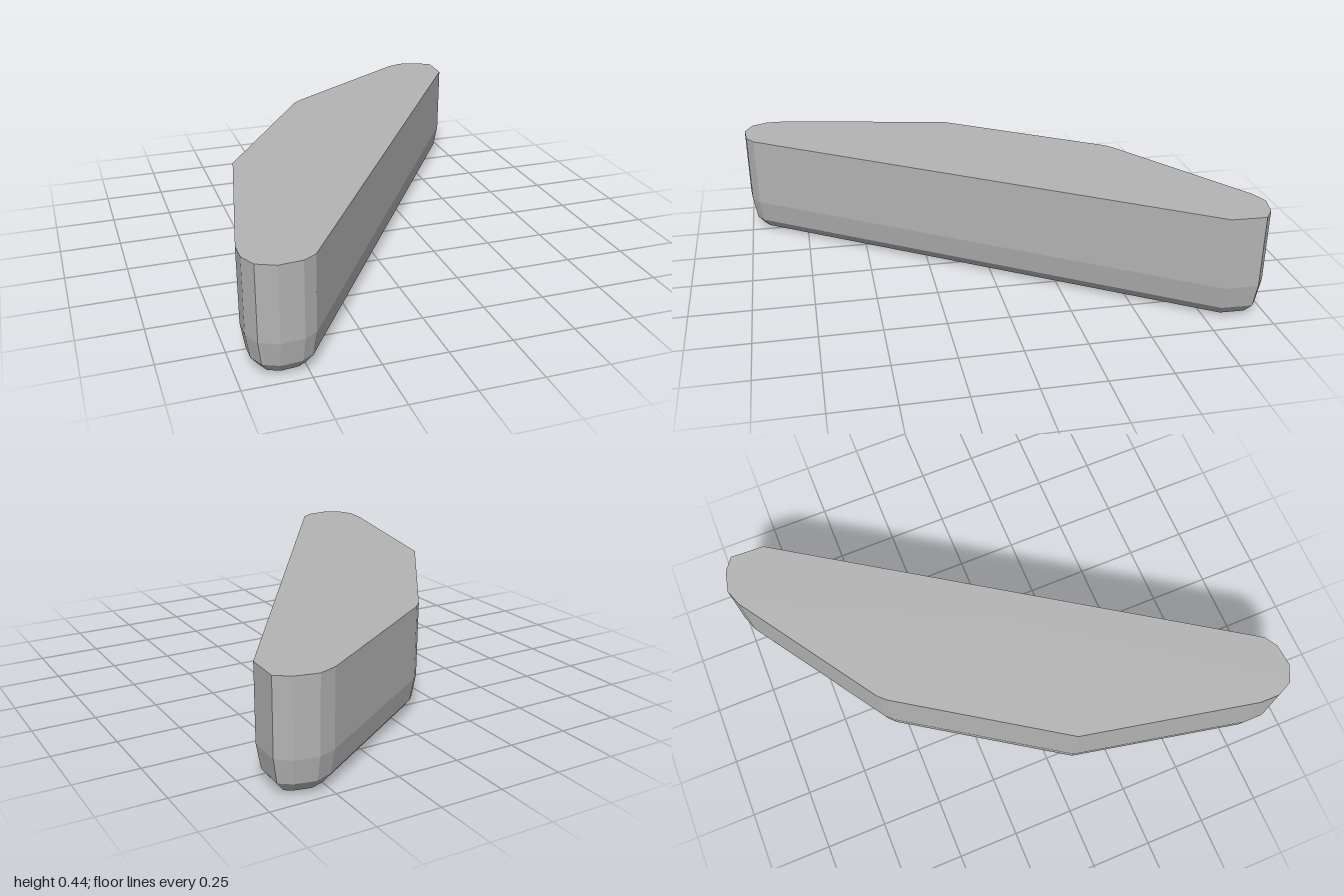
import * as THREE from 'three';

// Plan outline as [x, z], counter-clockwise seen from above
const OUTLINE = [
  [-0.71, 0.82], [-0.71, 0.9], [-0.68, 0.965], [-0.61, 0.998], [-0.52, 0.99], [-0.47, 0.96],
  [0.7, -0.8], [0.705, -0.94], [0.65, -0.98], [0.56, -1.0], [0.49, -0.975],
  [-0.1, -0.585], [-0.13, -0.555], [-0.56, 0.09],
];

// Height and inset of each ring, from the rounded bottom to the flat top
const RINGS = [[0.004, 0.085], [0.015, 0.05], [0.055, 0.018], [0.15, 0.002], [0.445, 0]];

// Moves every outline edge inward by the same distance
function insetRing(y, inset) {
  const n = OUTLINE.length;
  const normal = (i) => {
    const a = OUTLINE[i % n], b = OUTLINE[(i + 1) % n];
    return new THREE.Vector2(a[1] - b[1], b[0] - a[0]).normalize();
  };
  return OUTLINE.map(([x, z], i) => {
    const before = normal(i + n - 1), after = normal(i);
    const shift = before.clone().add(after).multiplyScalar(inset / (1 + before.dot(after)));
    return [x - shift.x, y, z - shift.y];
  });
}

function slabGeometry() {
  const rings = RINGS.map(([y, inset]) => insetRing(y, inset));
  const top = rings[rings.length - 1], bottom = rings[0];
  const positions = [];
  const triangle = (a, b, c) => positions.push(...a, ...b, ...c);
  OUTLINE.forEach((_, i) => {
    const j = (i + 1) % OUTLINE.length;
    // Sides
    for (let r = 0; r < rings.length - 1; r++) {
      const low = rings[r], high = rings[r + 1];
      triangle(low[i], low[j], high[j]);
      triangle(low[i], high[j], high[i]);
    }
    // Flat top and very slightly domed underside
    triangle([0, 0.445, 0], top[i], top[j]);
    triangle([0, 0, 0], bottom[j], bottom[i]);
  });
  const geometry = new THREE.BufferGeometry();
  geometry.setAttribute('position', new THREE.Float32BufferAttribute(positions, 3));
  geometry.computeVertexNormals(); // unshared corners keep the facets flat
  return geometry;
}

export function createModel() {
  const group = new THREE.Group();
  group.name = 'stoneSlab';
  const stone = new THREE.MeshStandardMaterial({ color: 0xb4b4b4 });
  stone.name = 'light grey';
  const slab = new THREE.Mesh(slabGeometry(), stone);
  slab.name = 'slab';
  group.add(slab);
  return group;
}
